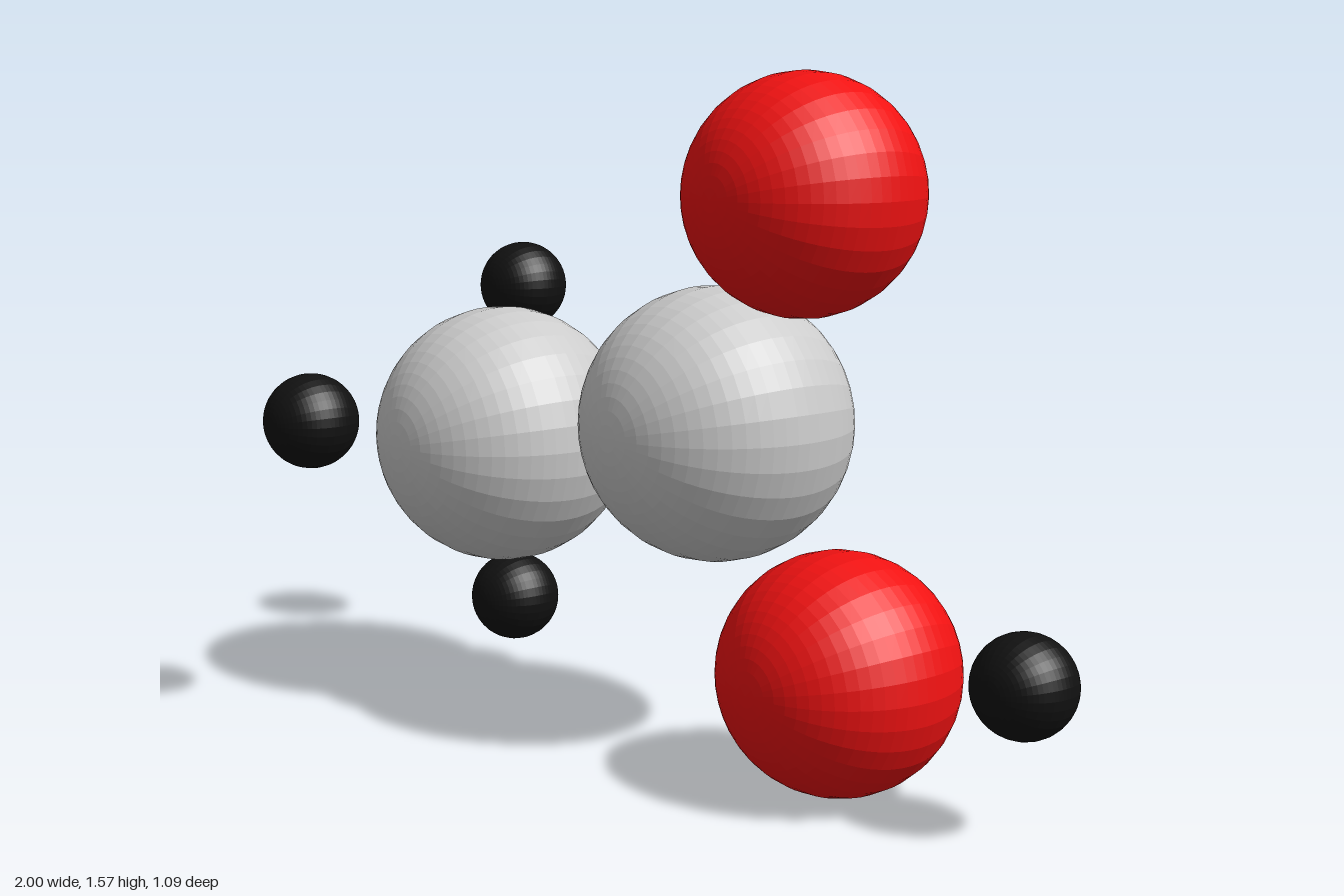
import * as THREE from 'three';

export function createModel() {
  const group = new THREE.Group();
  group.name = 'molecule';

  const material = (color) => new THREE.MeshStandardMaterial({ color, flatShading: true });
  // Faceted sphere with its poles along z
  const sphere = (radius) => new THREE.SphereGeometry(radius, 32, 32).rotateX(Math.PI / 2);

  const elements = {
    carbon: { geometry: sphere(0.315), material: material(0xcccccc) },
    oxygen: { geometry: sphere(0.27), material: material(0xf01212) },
    hydrogen: { geometry: sphere(0.1125), material: material(0x111111) },
  };

  const atoms = [
    // Methyl end
    ['carbon', 'methylCarbon', -0.605, 0.67, -0.06],
    ['hydrogen', 'upperHydrogen', -0.89, 0.997, -0.323],
    ['hydrogen', 'frontHydrogen', -0.687, 0.743, 0.434],
    ['hydrogen', 'lowerHydrogen', -0.743, 0.205, -0.185],
    // Acid end
    ['carbon', 'acidCarbon', 0.045, 0.77, -0.2],
    ['oxygen', 'upperOxygen', 0.247, 1.295, -0.275],
    ['oxygen', 'lowerOxygen', 0.437, 0.27, -0.222],
    ['hydrogen', 'acidHydrogen', 0.887, 0.333, -0.312],
  ];

  for (const [element, name, x, y, z] of atoms) {
    const mesh = new THREE.Mesh(elements[element].geometry, elements[element].material);
    mesh.name = name;
    mesh.position.set(x, y, z);
    group.add(mesh);
  }
  return group;
}
